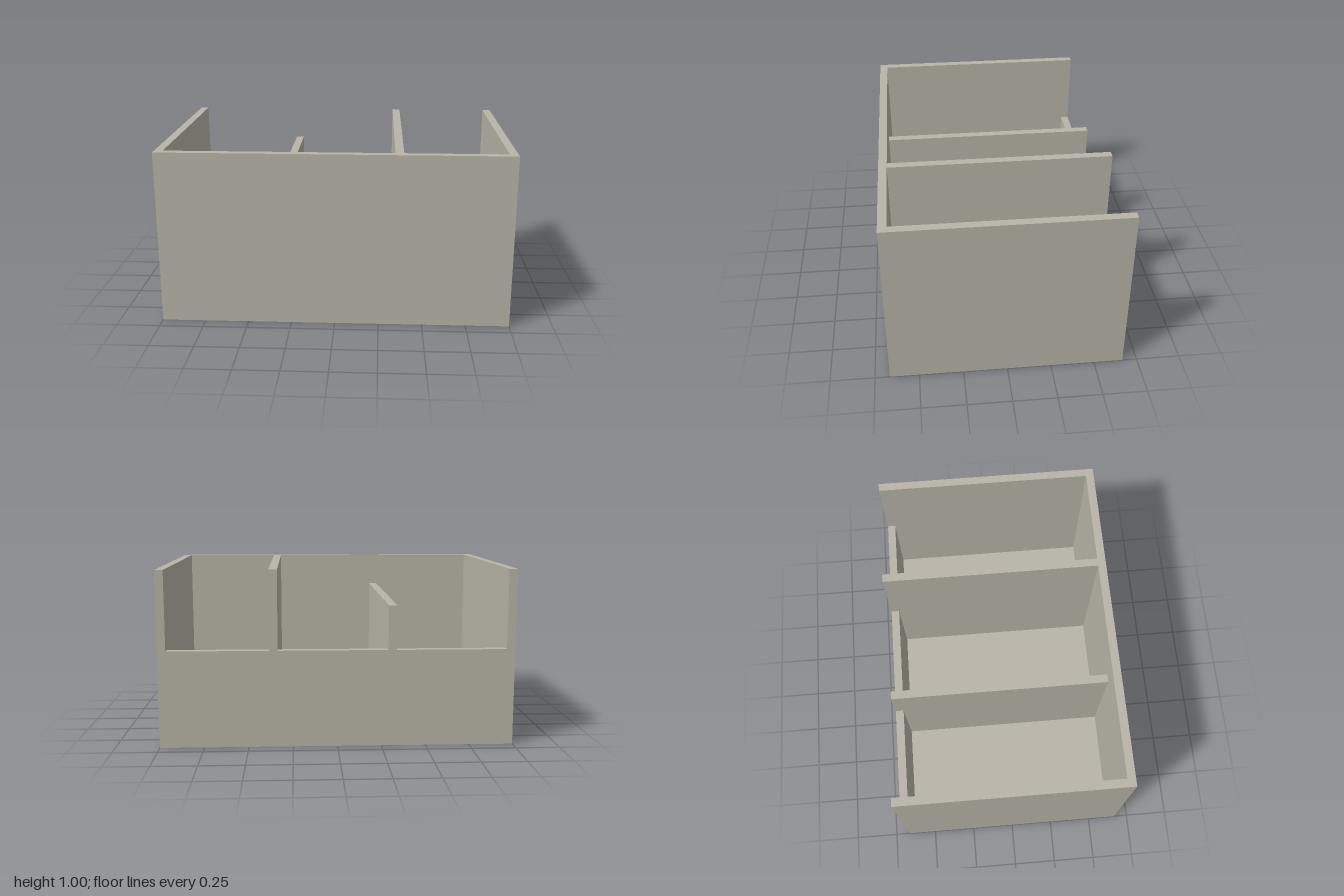
import * as THREE from 'three';

const W = 2, H = 1, D = 1.333; // outer size
const T = 0.048;               // board thickness
const BACK_H = 0.55;           // height of the low back wall

export function createModel() {
  const group = new THREE.Group();
  const stone = new THREE.MeshStandardMaterial({ color: 0xb8b4a8 });
  stone.name = 'warm grey';

  // Box given by its minimum and maximum corners
  const board = (name, x0, x1, y0, y1, z0, z1) => {
    const mesh = new THREE.Mesh(new THREE.BoxGeometry(x1 - x0, y1 - y0, z1 - z0), stone);
    mesh.position.set((x0 + x1) / 2, (y0 + y1) / 2, (z0 + z1) / 2);
    mesh.name = name;
    group.add(mesh);
  };

  const x = W / 2, z = D / 2;

  // Floor between the walls
  board('floor', -x + T, x - T, 0, T, -z + T, z - T);

  // Full-height front and side walls
  board('frontWall', -x, x, 0, H, z - T, z);
  board('leftWall', x - T, x, 0, H, -z, z - T);
  board('rightWall', -x, -x + T, 0, H, -z, z - T);

  // Low back wall
  board('backWall', -x + T, x - T, 0, BACK_H, -z, -z + T);

  // Dividers run over the back wall, flush with its outer face
  const dividers = [
    { name: 'shortDivider', at: -0.333, top: 0.8 },
    { name: 'tallDivider', at: 0.333, top: H },
  ];
  for (const { name, at, top } of dividers) {
    board(name, at, at + T, T, BACK_H, -z + T, z - T);
    board(name + 'Upper', at, at + T, BACK_H, top, -z, z - T);
  }

  return group;
}
